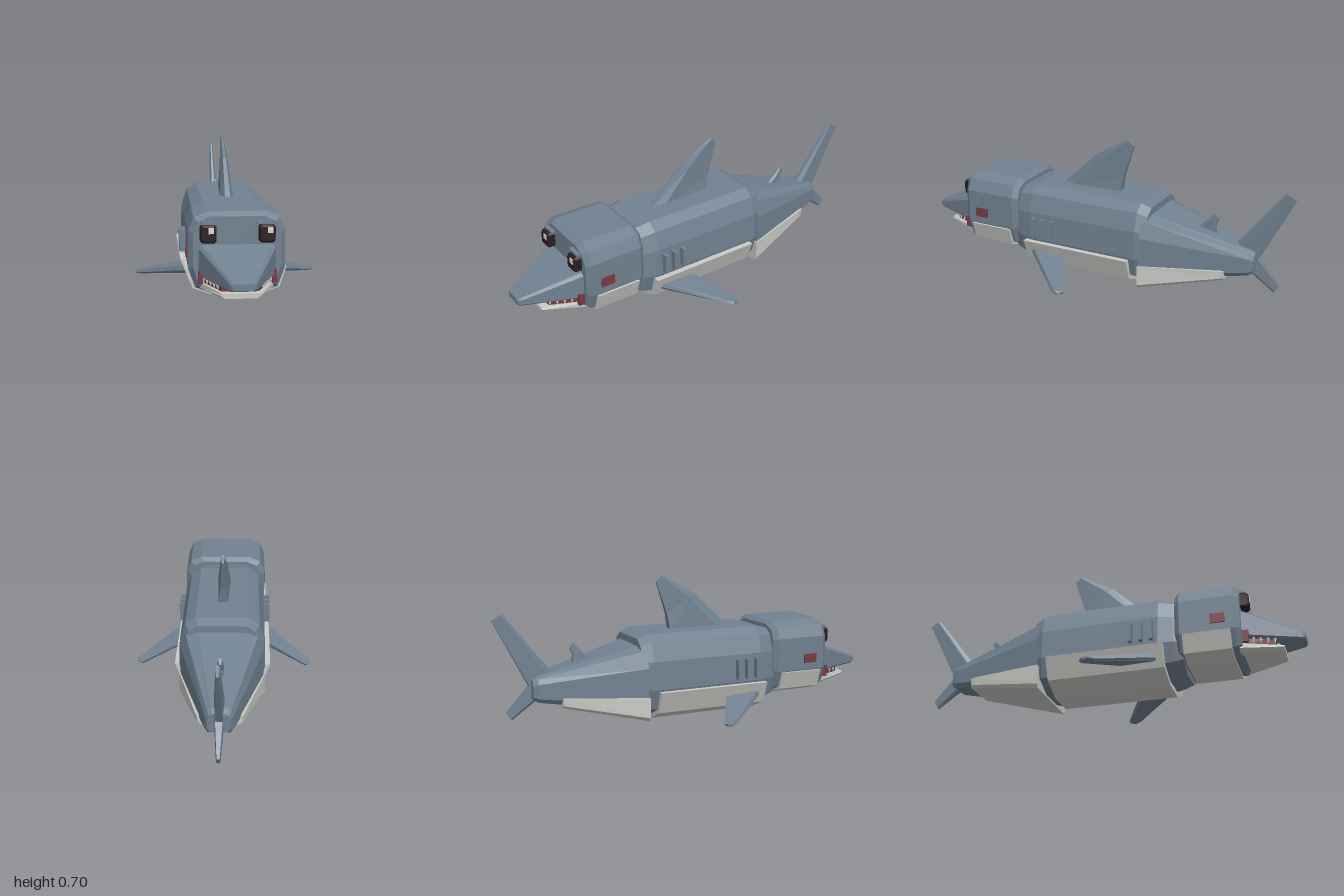
import * as THREE from 'three';

const paint = (name, color) => {
  const m = new THREE.MeshStandardMaterial({ color });
  m.name = name;
  return m;
};

// Closed flat-faced solid through matching rings of [x, y, z] points
function loft(rings) {
  const tris = [], n = rings[0].length;
  for (let r = 0; r < rings.length - 1; r++) {
    for (let i = 0; i < n; i++) {
      const j = (i + 1) % n, a = rings[r], b = rings[r + 1];
      tris.push([a[i], a[j], b[j]], [a[i], b[j], b[i]]);
    }
  }
  const first = rings[0], last = rings[rings.length - 1];
  for (let i = 1; i < n - 1; i++) {
    tris.push([first[0], first[i + 1], first[i]], [last[0], last[i], last[i + 1]]);
  }
  // turn every face outward using the signed volume
  const V = (p) => new THREE.Vector3(...p);
  const volume = tris.reduce((s, [a, b, c]) => s + V(a).dot(V(b).cross(V(c))), 0);
  const pos = tris.flatMap(([a, b, c]) => (volume < 0 ? [...a, ...c, ...b] : [...a, ...b, ...c]));
  const g = new THREE.BufferGeometry();
  g.setAttribute('position', new THREE.Float32BufferAttribute(pos, 3));
  g.computeVertexNormals();
  return g;
}

// Symmetric cross-section at z from its left half, listed top to bottom
const ring = (z, half) => [
  ...half.map(([x, y]) => [x, y, z]),
  ...half.slice().reverse().map(([x, y]) => [-x, y, z]),
];
const scaled = (half, s, cy) => half.map(([x, y]) => [x * s, cy + (y - cy) * s]);

// Upright fin: each section is [zFront, yFront, zBack, yBack, halfWidth]
const fin = (sections) => loft(sections.map(([zf, yf, zb, yb, w]) => {
  const e = 0.2, zi = zf + (zb - zf) * e, yi = yf + (yb - yf) * e;
  return [[w * 0.4, yf, zf], [w, yi, zi], [w * 0.7, yb, zb],
    [-w * 0.7, yb, zb], [-w, yi, zi], [-w * 0.4, yf, zf]];
}));

export function createModel() {
  const model = new THREE.Group();
  model.name = 'shark';
  const slate = paint('slate skin', 0x708190);
  const pale = paint('pale belly', 0xc9c9c5);
  const red = paint('mouth red', 0x7a3a42);
  const dark = paint('eye dark', 0x2b1d1e);
  const white = paint('tooth white', 0xdcdcd4);

  const add = (name, geo, mat) => {
    const m = new THREE.Mesh(geo, mat);
    m.name = name;
    model.add(m);
    return m;
  };
  const box = (name, mat, x0, x1, y0, y1, z0, z1) => {
    const m = add(name, new THREE.BoxGeometry(x1 - x0, y1 - y0, z1 - z0), mat);
    m.position.set((x0 + x1) / 2, (y0 + y1) / 2, (z0 + z1) / 2);
    return m;
  };

  // Body and belly
  const bodyHalf = [[0.13, 0.435], [0.18, 0.4], [0.208, 0.31], [0.212, 0.17], [0.185, 0.07], [0.08, 0.02]];
  add('body', loft([
    ring(0.43, scaled(bodyHalf, 0.86, 0.24)), ring(0.39, scaled(bodyHalf, 0.93, 0.24)),
    ring(0.32, bodyHalf), ring(-0.27, bodyHalf), ring(-0.32, scaled(bodyHalf, 0.9, 0.22)),
  ]), slate);
  const bellyHalf = [[0.238, 0.16], [0.195, 0.05], [0.08, 0]];
  add('belly', loft([ring(0.345, bellyHalf), ring(-0.24, bellyHalf)]), pale);

  // Head and chin
  const headHalf = [[0.13, 0.455], [0.19, 0.43], [0.215, 0.37], [0.215, 0.2], [0.185, 0.115], [0.11, 0.085]];
  add('head', loft([
    ring(0.4, scaled(headHalf, 0.9, 0.27)), ring(0.425, headHalf),
    ring(0.69, headHalf), ring(0.715, scaled(headHalf, 0.9, 0.27)),
  ]), slate);
  const chinHalf = [[0.225, 0.195], [0.195, 0.105], [0.115, 0.076]];
  add('chin', loft([ring(0.67, chinHalf), ring(0.44, chinHalf)]), pale);

  // Snout, mouth and lower jaw
  add('snout', loft([
    ring(0.705, [[0.16, 0.315], [0.175, 0.3], [0.175, 0.18], [0.165, 0.17]]),
    ring(0.985, [[0.05, 0.215], [0.058, 0.205], [0.058, 0.18], [0.05, 0.172]]),
    ring(1.0, [[0.042, 0.208], [0.048, 0.2], [0.048, 0.184], [0.042, 0.178]]),
  ]), slate);
  add('mouth', loft([
    ring(0.7, [[0.15, 0.19], [0.15, 0.13]]),
    ring(0.86, [[0.085, 0.185], [0.08, 0.135]]),
  ]), red);
  add('lowerJaw', loft([
    ring(0.7, [[0.165, 0.14], [0.165, 0.115], [0.14, 0.1]]),
    ring(0.9, [[0.08, 0.14], [0.085, 0.13], [0.07, 0.118]]),
  ]), pale);

  // Tail and its pale underside
  add('tail', loft([
    ring(-0.295, [[0.12, 0.385], [0.18, 0.365], [0.205, 0.28], [0.205, 0.1], [0.17, 0.06]]),
    ring(-0.8, [[0.035, 0.255], [0.055, 0.245], [0.066, 0.22], [0.066, 0.15], [0.05, 0.13]]),
    ring(-0.825, [[0.03, 0.24], [0.045, 0.23], [0.052, 0.21], [0.052, 0.16], [0.04, 0.145]]),
  ]), slate);
  add('tailBelly', loft([
    ring(-0.29, [[0.213, 0.135], [0.213, 0.035], [0.195, 0.017]]),
    ring(-0.67, [[0.115, 0.15], [0.113, 0.11], [0.1, 0.097]]),
    ring(-0.695, [[0.106, 0.15], [0.102, 0.115], [0.09, 0.103]]),
  ]), pale);

  // Upright fins
  add('dorsalFin', fin([
    [0.23, 0.425, -0.1, 0.425, 0.034], [0.04, 0.605, -0.115, 0.51, 0.02], [-0.13, 0.703, -0.168, 0.675, 0.008],
  ]), slate);
  add('rearDorsalFin', fin([
    [-0.5, 0.3, -0.62, 0.27, 0.018], [-0.57, 0.36, -0.61, 0.34, 0.014], [-0.605, 0.397, -0.627, 0.375, 0.008],
  ]), slate);
  add('upperTailFin', fin([
    [-0.71, 0.25, -0.83, 0.2, 0.026], [-0.95, 0.56, -1.0, 0.53, 0.009],
  ]), slate);
  add('lowerTailFin', fin([
    [-0.75, 0.17, -0.83, 0.21, 0.024], [-0.92, 0.047, -0.945, 0.085, 0.01],
  ]), slate);

  for (const s of [1, -1]) {
    const side = s > 0 ? 'left' : 'right';
    const mirrored = (name, mat, x0, x1, ...rest) =>
      box(side + name, mat, Math.min(s * x0, s * x1), Math.max(s * x0, s * x1), ...rest);

    // Pectoral fin sweeping out, down and back
    add(side + 'PectoralFin', loft([
      [0.17, 0.13, 0.1, 0.35, 0.115], [0.21, 0.12, 0.075, 0.315, 0.125],
      [0.43, 0.042, 0.016, 0.075, -0.002], [0.457, 0.036, 0.018, 0.05, 0.018],
    ].map(([x, top, low, zf, zb]) => [
      [s * x, top, zf - 0.01], [s * x, (top + low) / 2, zf], [s * x, low + 0.004, zf - 0.015],
      [s * x, low, zb + 0.01], [s * x, low + 0.012, zb], [s * x, top - 0.014, zb],
    ])), slate);

    // Gill ridges
    for (const z of [0.29, 0.238, 0.186]) mirrored('Gill', slate, 0.19, 0.24, 0.187, 0.287, z - 0.009, z + 0.009);

    // Cheek mark and mouth corner
    mirrored('CheekMark', red, 0.2, 0.222, 0.235, 0.282, 0.575, 0.645);
    mirrored('MouthCorner', red, 0.152, 0.173, 0.142, 0.2, 0.7, 0.745);

    // Eye with glint and brow
    add(side + 'Eye', loft([0.7, 0.745, 0.755].map((z, i) => {
      const h = i < 2 ? 0.036 : 0.028, k = h * 0.75, cx = s * 0.129, cy = 0.364;
      return [[k, h], [h, k], [h, -k], [k, -h], [-k, -h], [-h, -k], [-h, k], [-k, h]]
        .map(([x, y]) => [cx + x, cy + y * 1.1, z]);
    })), dark);
    const gx = s * 0.129 + 0.012;
    box(side + 'EyeGlint', white, gx - 0.012, gx + 0.012, 0.368, 0.395, 0.752, 0.758);
    mirrored('Brow', slate, 0.083, 0.16, 0.404, 0.416, 0.7, 0.735);

    // Teeth: one large in front, smaller ones along the jaw
    const teeth = [[0.026, 0.865, 0.016, 0.04]];
    for (let i = 0; i < 5; i++) teeth.push([0.097 + i * 0.013, 0.86 - i * 0.032, 0.009, 0.034]);
    for (const [x, z, r, h] of teeth) {
      const t = add(side + 'Tooth', new THREE.ConeGeometry(r, h, 4).toNonIndexed(), white);
      t.geometry.computeVertexNormals();
      t.rotation.x = Math.PI;
      t.position.set(s * x, 0.176 - h / 2, z);
    }
  }
  return model;
}
